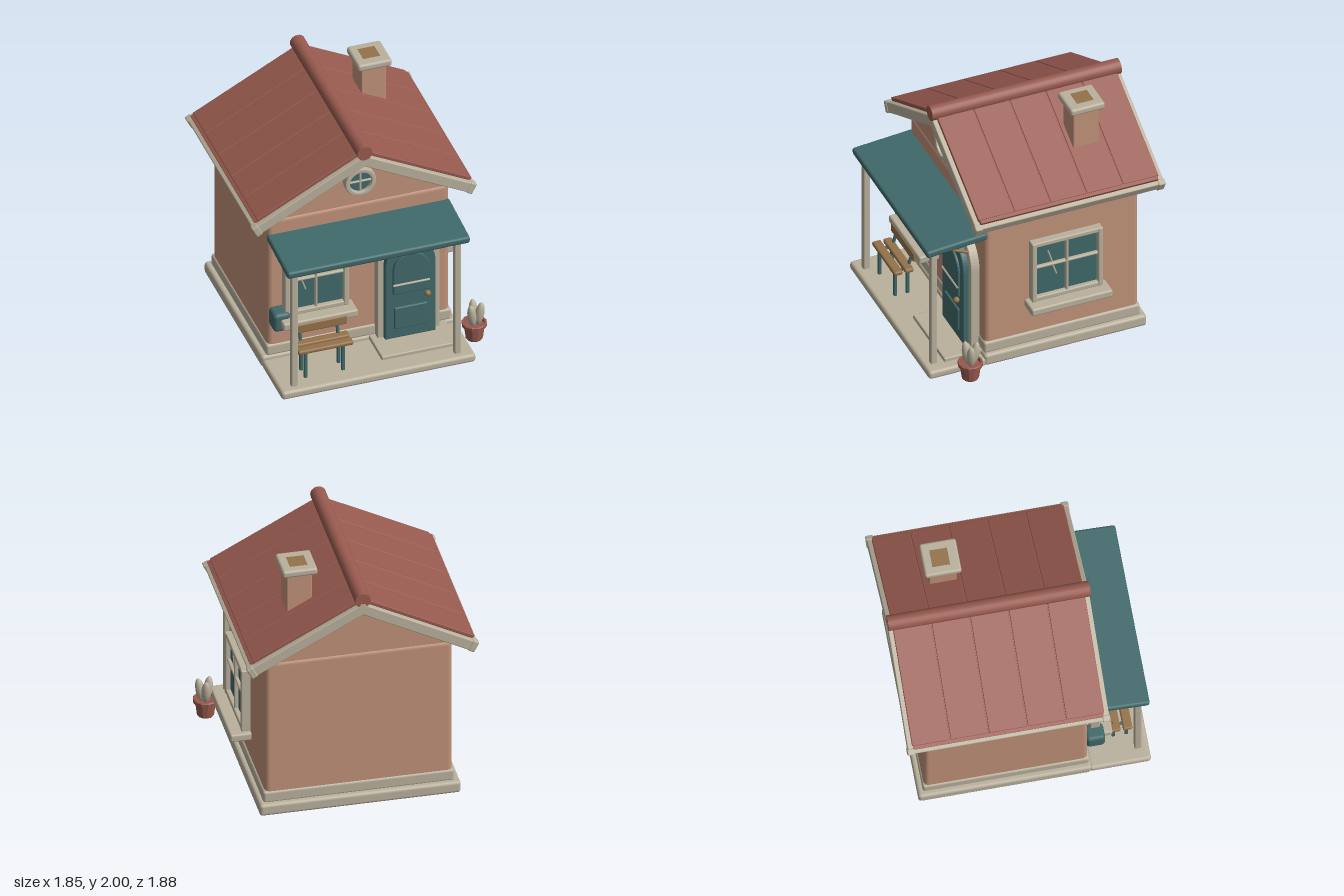
import * as THREE from 'three';
import { RoundedBoxGeometry } from 'three/addons/geometries/RoundedBoxGeometry.js';

const mat = (name, color) => {
  const m = new THREE.MeshStandardMaterial({ color });
  m.name = name;
  return m;
};

export function createModel() {
  const wall = mat('plaster', 0xc09279), roof = mat('roofRed', 0x985a4f), teal = mat('teal', 0x40696a);
  const trim = mat('trim', 0xbab19d), wood = mat('wood', 0x94724a);
  const root = new THREE.Group();
  root.name = 'cottage';

  const add = (parent, name, geo, m, x = 0, y = 0, z = 0) => {
    const mesh = new THREE.Mesh(geo, m);
    mesh.name = name;
    mesh.position.set(x, y, z);
    parent.add(mesh);
    return mesh;
  };
  const group = (parent, name, x = 0, y = 0, z = 0) => {
    const g = new THREE.Group();
    g.name = name;
    g.position.set(x, y, z);
    parent.add(g);
    return g;
  };
  // Box given by its limits, with softly rounded edges
  const block = (parent, name, m, x0, x1, y0, y1, z0, z1, r = 0.01) => {
    const s = [x1 - x0, y1 - y0, z1 - z0];
    const rad = Math.min(r, Math.min(...s) * 0.45);
    return add(parent, name, new RoundedBoxGeometry(...s, 2, rad), m, (x0 + x1) / 2, (y0 + y1) / 2, (z0 + z1) / 2);
  };
  // Round rod between two points
  const rod = (parent, name, m, a, b, r) => {
    const p = new THREE.Vector3(...a), q = new THREE.Vector3(...b);
    const mesh = add(parent, name, new THREE.CylinderGeometry(r, r, p.distanceTo(q), 10), m);
    mesh.position.copy(p).lerp(q, 0.5);
    mesh.quaternion.setFromUnitVectors(new THREE.Vector3(0, 1, 0), q.sub(p).normalize());
    return mesh;
  };
  const extrude = (shape, depth, bevel = 0) => new THREE.ExtrudeGeometry(shape, {
    depth: depth - bevel, curveSegments: 14, bevelEnabled: bevel > 0,
    bevelSize: bevel, bevelThickness: bevel, bevelOffset: -bevel, bevelSegments: 2,
  });

  // Floor, porch and walls
  block(root, 'foundation', trim, -0.815, 0.735, 0, 0.1, -0.84, 0.485, 0.025);
  block(root, 'porchFloor', trim, -0.81, 0.735, 0, 0.07, 0.47, 0.94, 0.025);
  block(root, 'doorStep', trim, 0.04, 0.65, 0.05, 0.1, 0.47, 0.78);
  block(root, 'plinth', trim, -0.773, 0.7, 0.09, 0.19, -0.8, 0.475, 0.02);
  block(root, 'walls', wall, -0.76, 0.685, 0.1, 1.335, -0.79, 0.465, 0.04);
  const CX = -0.037;
  const tri = new THREE.Shape([[-0.715, 1.31], [0.715, 1.31], [0.715, 1.34], [0, 1.76], [-0.715, 1.34]]
    .map(p => new THREE.Vector2(...p)));
  add(root, 'gable', extrude(tri, 1.235), wall, CX, 0, -0.78);

  // Roof: one half built along its slope, the other turned half round
  const roofGroup = group(root, 'roof', CX, 1.887, -0.1675);
  for (const turn of [0, Math.PI]) {
    const half = group(roofGroup, 'roofHalf');
    half.rotation.y = turn;
    const s = group(half, 'roofSlope');
    s.rotation.z = -Math.atan(0.525);
    block(s, 'roofDeck', roof, 0, 0.985, -0.085, -0.006, -0.725, 0.725, 0.004);
    for (let i = 0; i < 5; i++) {
      const z = -0.7375 + i * 0.295;
      block(s, 'roofBoard', roof, 0, 0.956, -0.03, 0, z + 0.003, z + 0.292, 0.006);
    }
    block(s, 'eaveBoard', trim, 0.972, 1.02, -0.115, -0.031, -0.75, 0.75);
    for (const e of [-1, 1]) {
      const z = e * 0.746;
      block(s, 'bargeBoard', trim, 0, 1.02, -0.115, -0.031, z - 0.024, z + 0.024, 0.008);
      block(s, 'eaveCap', trim, 0.975, 1.028, -0.12, -0.026, z - 0.03, z + 0.03);
    }
  }
  rod(root, 'ridge', roof, [CX, 1.88, 0.61], [CX, 1.88, -0.935], 0.06).geometry =
    new THREE.CylinderGeometry(0.06, 0.06, 1.545, 20);

  // Chimney
  block(root, 'chimney', wall, 0.27, 0.467, 1.45, 1.95, -0.56, -0.35);
  block(root, 'chimneyCap', trim, 0.235, 0.504, 1.94, 2.0, -0.597, -0.317, 0.02);
  block(root, 'chimneyOpening', wood, 0.3, 0.435, 1.997, 2.002, -0.53, -0.395, 0.001);

  // Awning with posts and braces
  const awning = add(root, 'awning', new RoundedBoxGeometry(1.455, 0.06, 0.5, 2, 0.02), teal, CX, 1.151, 0.688);
  awning.rotation.x = 0.08;
  for (const x of [-0.688, 0.61]) {
    block(root, 'porchPost', trim, x - 0.026, x + 0.026, 0.06, 1.125, 0.83, 0.882);
    rod(root, 'awningBrace', wood, [x, 1.115, 0.8], [x, 1.01, 0.57], 0.012);
  }

  // Windows, built facing +z with the wall at local z = 0
  const windowUnit = (w, h, sillW, x, y, z) => {
    const g = group(root, 'window', x, y, z);
    const W = w / 2, H = h / 2, t = 0.04;
    block(g, 'glass', teal, -W + 0.01, W - 0.01, -H + 0.01, H - 0.01, 0.037, 0.07, 0.004);
    for (const s of [-1, 1]) {
      const cx = s * (W - t / 2), cy = s * (H - t / 2);
      block(g, 'frameSide', trim, cx - t / 2, cx + t / 2, -H, H, 0.035, 0.11);
      block(g, 'frameRail', trim, -W, W, cy - t / 2, cy + t / 2, 0.037, 0.106);
    }
    block(g, 'muntin', trim, -0.011, 0.011, -H, H, 0.06, 0.1);
    block(g, 'muntin', trim, -W, W, 0.024, 0.046, 0.06, 0.098);
    block(g, 'sill', trim, -sillW / 2, sillW / 2, -H - 0.06, -H + 0.004, 0.035, 0.2, 0.015);
    rod(g, 'glint', trim, [-0.148, 0.155, 0.072], [-0.115, 0.045, 0.072], 0.007);
    rod(g, 'glint', trim, [-0.115, 0.03, 0.072], [-0.08, -0.075, 0.072], 0.007);
    return g;
  };
  windowUnit(0.51, 0.55, 0.595, -0.405, 0.765, 0.465);
  windowUnit(0.58, 0.54, 0.66, 0.685, 0.8, -0.168).rotation.y = Math.PI / 2;

  // Round gable window
  const rw = group(root, 'roundWindow', CX, 1.555, 0.455);
  const ring = new THREE.Shape().absarc(0, 0, 0.123, 0, Math.PI * 2);
  ring.holes.push(new THREE.Path().absarc(0, 0, 0.087, 0, Math.PI * 2, true));
  add(rw, 'roundFrame', extrude(ring, 0.07, 0.008), trim);
  const pane = add(rw, 'roundGlass', new THREE.CylinderGeometry(0.09, 0.09, 0.04, 28), teal, 0, 0, 0.02);
  pane.rotation.x = Math.PI / 2;
  block(rw, 'muntin', trim, -0.008, 0.008, -0.09, 0.09, 0.03, 0.055);
  block(rw, 'muntin', trim, -0.09, 0.09, -0.008, 0.008, 0.03, 0.054);

  // Arched door
  const door = group(root, 'door', 0.337, 0, 0);
  const arch = (r, y0, top) => {
    const s = new THREE.Shape();
    s.moveTo(-r, y0);
    s.lineTo(r, y0);
    s.lineTo(r, top - r);
    s.absarc(0, top - r, r, 0, Math.PI);
    s.lineTo(-r, y0);
    return s;
  };
  add(door, 'doorFrame', extrude(arch(0.247, 0.09, 1.035), 0.085, 0.008), trim, 0, 0, 0.45);
  add(door, 'doorLeaf', extrude(arch(0.2, 0.1, 0.96), 0.06, 0.008), teal, 0, 0, 0.52);
  add(door, 'upperPanel', extrude(arch(0.143, 0.51, 0.87), 0.03, 0.008), teal, 0, 0, 0.57);
  block(door, 'lowerPanel', teal, -0.133, 0.133, 0.19, 0.385, 0.57, 0.597);
  rod(door, 'doorRail', trim, [-0.145, 0.6, 0.603], [0.145, 0.6, 0.603], 0.009);
  add(door, 'doorKnob', new THREE.SphereGeometry(0.025, 16, 12), wood, 0.128, 0.475, 0.605);

  // Wall box beside the bench
  block(root, 'letterBox', teal, -0.755, -0.62, 0.38, 0.54, 0.455, 0.6, 0.03);

  // Bench
  const bench = group(root, 'bench');
  for (const z of [0.792, 0.702]) block(bench, 'seatSlat', wood, -0.64, -0.2, 0.3, 0.336, z - 0.036, z + 0.036, 0.014);
  block(bench, 'backRest', wood, -0.64, -0.2, 0.39, 0.47, 0.645, 0.675, 0.012);
  for (const x of [-0.573, -0.275]) {
    block(bench, 'frontLeg', teal, x - 0.013, x + 0.013, 0.06, 0.31, 0.778, 0.804, 0.006);
    block(bench, 'rearLeg', teal, x - 0.013, x + 0.013, 0.06, 0.31, 0.678, 0.704, 0.006);
    rod(bench, 'backPost', teal, [x, 0.29, 0.69], [x, 0.48, 0.635], 0.013);
    block(bench, 'seatBearer', teal, x - 0.01, x + 0.01, 0.285, 0.305, 0.68, 0.804, 0.004);
  }

  // Potted plant
  const plant = group(root, 'pottedPlant', 0.822, 0, 0.642);
  const profile = [[0, 0.005], [0.06, 0.005], [0.067, 0.015], [0.08, 0.12], [0.096, 0.124], [0.098, 0.15],
    [0.092, 0.157], [0.08, 0.155], [0.076, 0.13], [0, 0.13]].map(p => new THREE.Vector2(...p));
  const pot = new THREE.LatheGeometry(profile, 12).toNonIndexed();
  pot.computeVertexNormals();
  add(plant, 'pot', pot, roof);
  for (const [x, z, lean, tilt] of [[-0.025, 0.02, 0.12, 0.08], [0.04, 0.01, -0.16, 0.05], [0.005, -0.035, 0, -0.2]]) {
    const leaf = add(plant, 'leaf', new THREE.SphereGeometry(1, 14, 10), trim, x, 0.225, z);
    leaf.scale.set(0.035, 0.1, 0.035);
    leaf.rotation.set(tilt, 0, lean);
  }
  return root;
}
